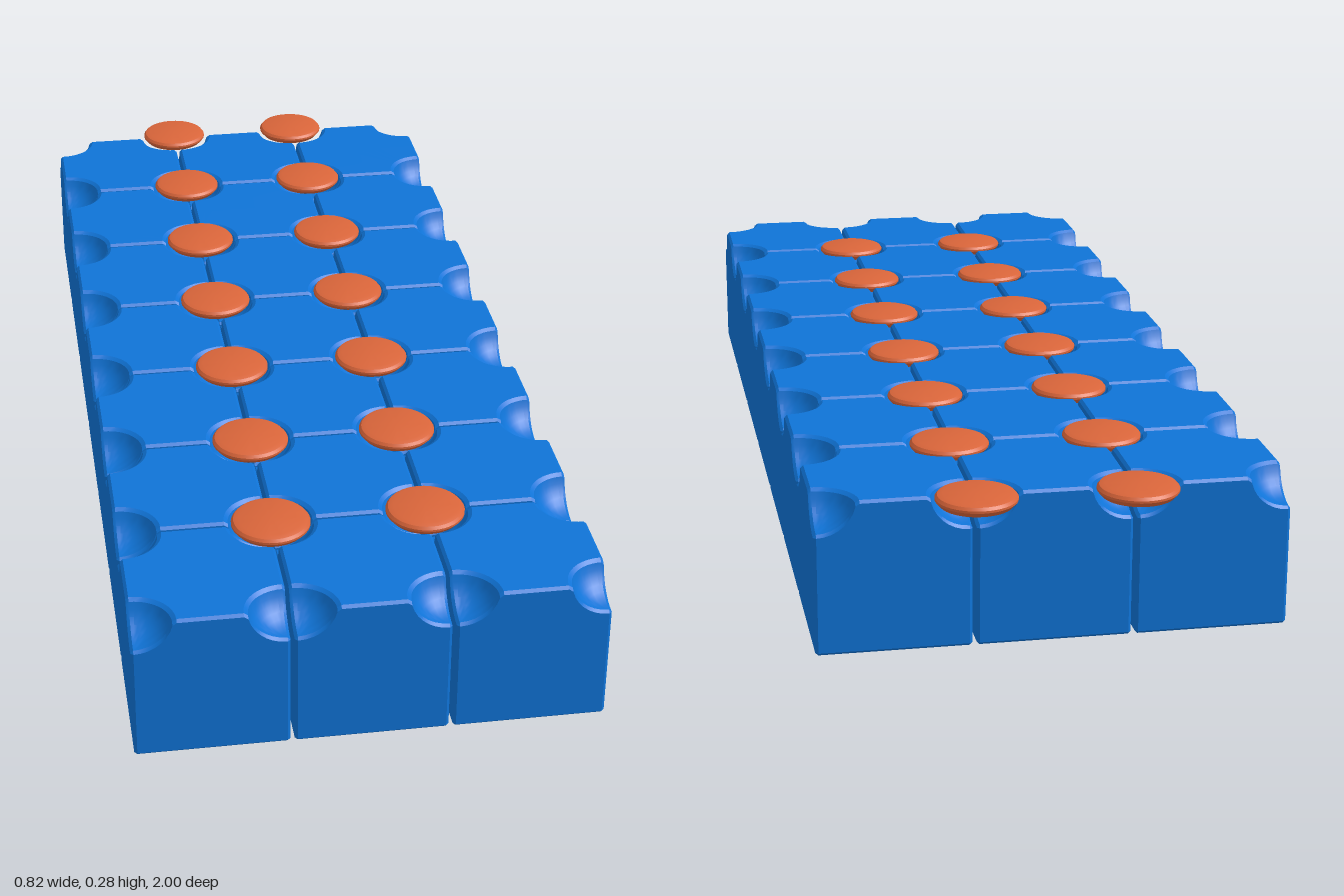
import * as THREE from 'three';
import { toCreasedNormals } from 'three/addons/utils/BufferGeometryUtils.js';

const PITCH = 0.275, WIDTH = 0.268, HEIGHT = 0.274, BEVEL = 0.005;
const COLS = 3, ROWS = 7;

// Square block with a spherical scoop at each top corner: one quarter, turned four times.
function blockGeometry() {
  const h = WIDTH / 2, b = BEVEL, steps = 12;
  const positions = [];

  // scoop profile (radius from the corner, height), ending in a chamfered rim
  const R = 0.0679, floorY = 0.217, phiMax = Math.asin(0.066 / R);
  const profile = [];
  for (let i = 0; i <= 7; i++) {
    const phi = (phiMax * i) / 7;
    profile.push([R * Math.sin(phi), floorY + R * (1 - Math.cos(phi))]);
  }
  profile.push([0.073, HEIGHT], [null, HEIGHT]); // null: reach the middle lines of the block

  const surface = (i, j) => {
    const t = (j / steps) * Math.PI / 2, c = Math.cos(t), s = Math.sin(t);
    const [r, y] = profile[i];
    const d = r === null ? (h - b) / Math.max(c, s) : r;
    return new THREE.Vector3(b + d * c, y, b + d * s);
  };

  for (let q = 0; q < 4; q++) {
    const turn = new THREE.Matrix4().makeRotationY(q * Math.PI / 2);
    const tri = (...pts) => {
      const [u, v, w] = pts;
      const area = v.clone().sub(u).cross(w.clone().sub(u)).length();
      if (area < 1e-9) return;
      for (const p of pts) {
        const m = new THREE.Vector3(p.x - h, p.y, p.z - h).applyMatrix4(turn);
        positions.push(m.x, m.y, m.z);
      }
    };
    const quad = (a, e, c, d) => { tri(a, e, c); tri(a, c, d); };

    // scoop and top
    const n = profile.length - 1;
    for (let i = 0; i < n; i++)
      for (let j = 0; j < steps; j++)
        quad(surface(i, j), surface(i, j + 1), surface(i + 1, j + 1), surface(i + 1, j));

    // wall columns: top edge, bevel, wall foot, inset foot
    const columns = [];
    const column = (p, dx, dz) => {
      const out = (y) => new THREE.Vector3(p.x + dx * b, y, p.z + dz * b);
      columns.push([p, out(p.y - b), out(b), new THREE.Vector3(p.x, 0, p.z)]);
    };
    for (let i = n; i >= 0; i--) column(surface(i, steps), -1, 0);
    for (let i = 0; i <= n; i++) column(surface(i, 0), 0, -1);

    const middle = new THREE.Vector3(h, 0, h);
    for (let k = 0; k < columns.length - 1; k++) {
      const A = columns[k], B = columns[k + 1];
      for (let l = 0; l < 3; l++) quad(A[l], B[l], B[l + 1], A[l + 1]);
      tri(A[3], B[3], middle); // underside
    }
  }

  const geometry = new THREE.BufferGeometry();
  geometry.setAttribute('position', new THREE.Float32BufferAttribute(positions, 3));
  return toCreasedNormals(geometry, 0.45);
}

// Shallow round cap, hollow underneath
function capGeometry() {
  const profile = [
    [0, 0.273], [0.053, 0.273], [0.062, 0.261], [0.07, 0.27],
    [0.07, 0.274], [0.066, 0.279], [0.057, 0.282], [0, 0.282],
  ].map(([r, y]) => new THREE.Vector2(r, y));
  return toCreasedNormals(new THREE.LatheGeometry(profile, 40), 0.5);
}

export function createModel() {
  const model = new THREE.Group();
  model.name = 'blockPanel';
  const blue = new THREE.MeshStandardMaterial({ color: 0x0f73d6 });
  const orange = new THREE.MeshStandardMaterial({ color: 0xd9653a });

  // grid of blocks, front row flush with z = 1
  const blocks = new THREE.Group();
  blocks.name = 'blocks';
  const block = blockGeometry();
  for (let row = 0; row < ROWS; row++)
    for (let col = 0; col < COLS; col++) {
      const mesh = new THREE.Mesh(block, blue);
      mesh.name = 'block';
      mesh.position.set((col - 1) * PITCH, 0, 1 - WIDTH / 2 - row * PITCH);
      blocks.add(mesh);
    }

  // caps over the inner junctions and along the back edge
  const caps = new THREE.Group();
  caps.name = 'caps';
  const cap = capGeometry();
  for (let row = 0; row < ROWS; row++)
    for (const side of [-1, 1]) {
      const mesh = new THREE.Mesh(cap, orange);
      mesh.name = 'cap';
      mesh.position.set(side * PITCH / 2, 0, 0.729 - row * 0.2765);
      caps.add(mesh);
    }

  model.add(blocks, caps);
  return model;
}
